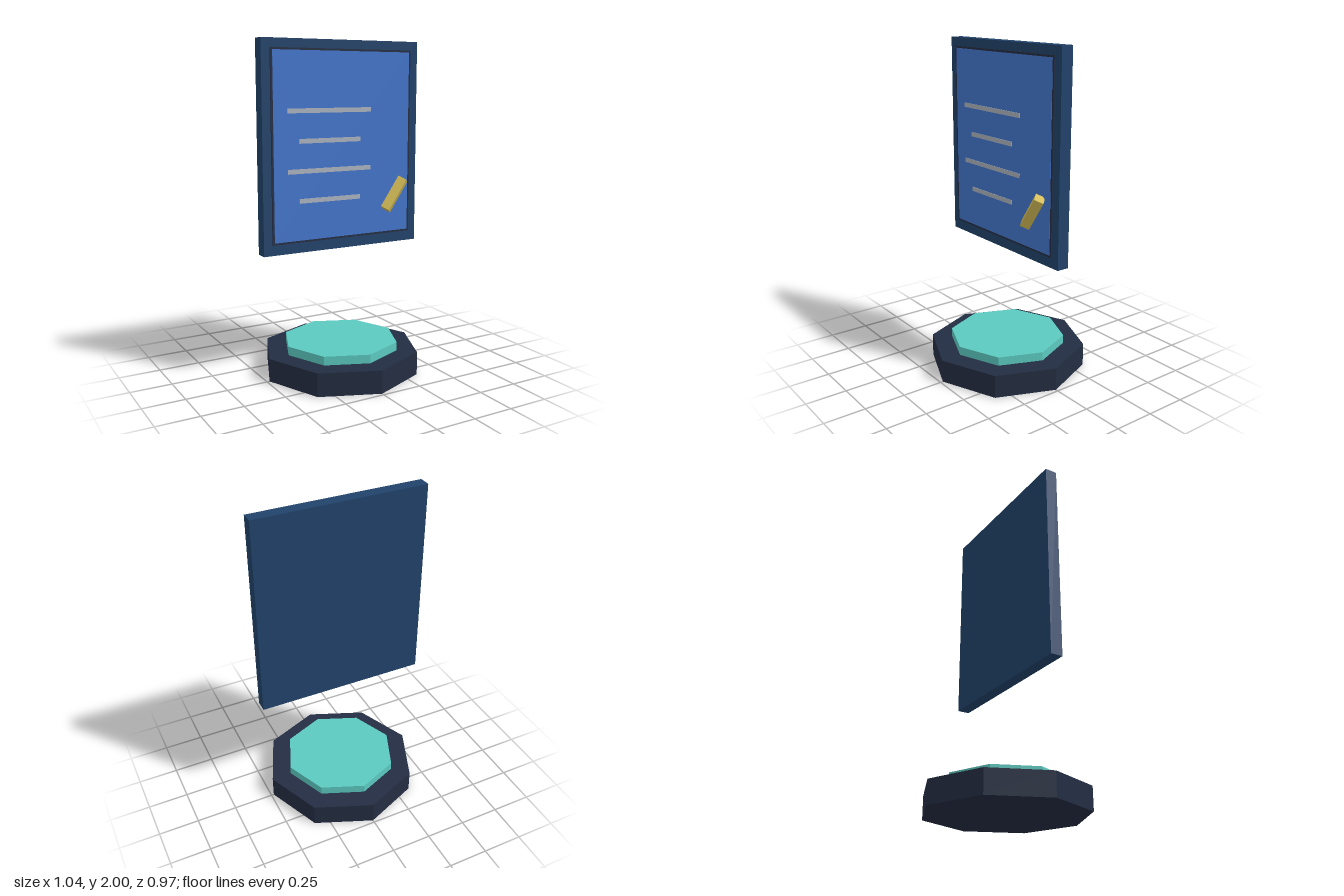
import * as THREE from 'three';

const flat = (name, color) => {
  const m = new THREE.MeshStandardMaterial({ color });
  m.name = name;
  return m;
};

export function createModel() {
  const group = new THREE.Group();
  const charcoal = flat('charcoal', 0x232d42);
  const teal = flat('teal', 0x5bc9c0);
  const navy = flat('navy', 0x21426a);
  const blue = flat('screenBlue', 0x4274cb);
  const grey = flat('lineGrey', 0xabb2be);
  const gold = flat('gold', 0xd2ba54);

  const add = (name, geometry, material, x, y, z) => {
    const mesh = new THREE.Mesh(geometry, material);
    mesh.name = name;
    mesh.position.set(x, y, z);
    group.add(mesh);
    return mesh;
  };
  // Faceted prism with hard edges
  const prism = (r, h, sides) => {
    const g = new THREE.CylinderGeometry(r, r, h, sides).toNonIndexed();
    g.computeVertexNormals();
    return g;
  };
  const box = (w, h, d) => new THREE.BoxGeometry(w, h, d);

  // Octagonal projector base with glowing top
  add('base', prism(0.484, 0.14, 8), charcoal, 0, 0.07, 0);
  add('emitterDisc', prism(0.357, 0.055, 8), teal, 0, 0.1655, 0);

  // Floating board: frame, dark border and screen
  add('boardFrame', box(1.044, 1.23, 0.075), navy, 0, 1.385, 0);
  add('screenBorder', box(0.938, 1.116, 0.008), charcoal, 0, 1.39, 0.0405);
  add('screen', box(0.914, 1.092, 0.002), blue, 0, 1.39, 0.0455);

  // Text-like bars, alternating long and short
  for (let i = 0; i < 4; i++) {
    const width = i % 2 ? 0.407 : 0.555;
    add('screenLine', box(width, 0.027, 0.004), grey, -0.093, 1.597 - i * 0.1735, 0.0475);
  }

  // Tilted square stylus
  add('stylus', prism(0.04, 0.22, 4), gold, 0.34, 1.077, 0.076).rotation.z = -0.61;

  return group;
}
